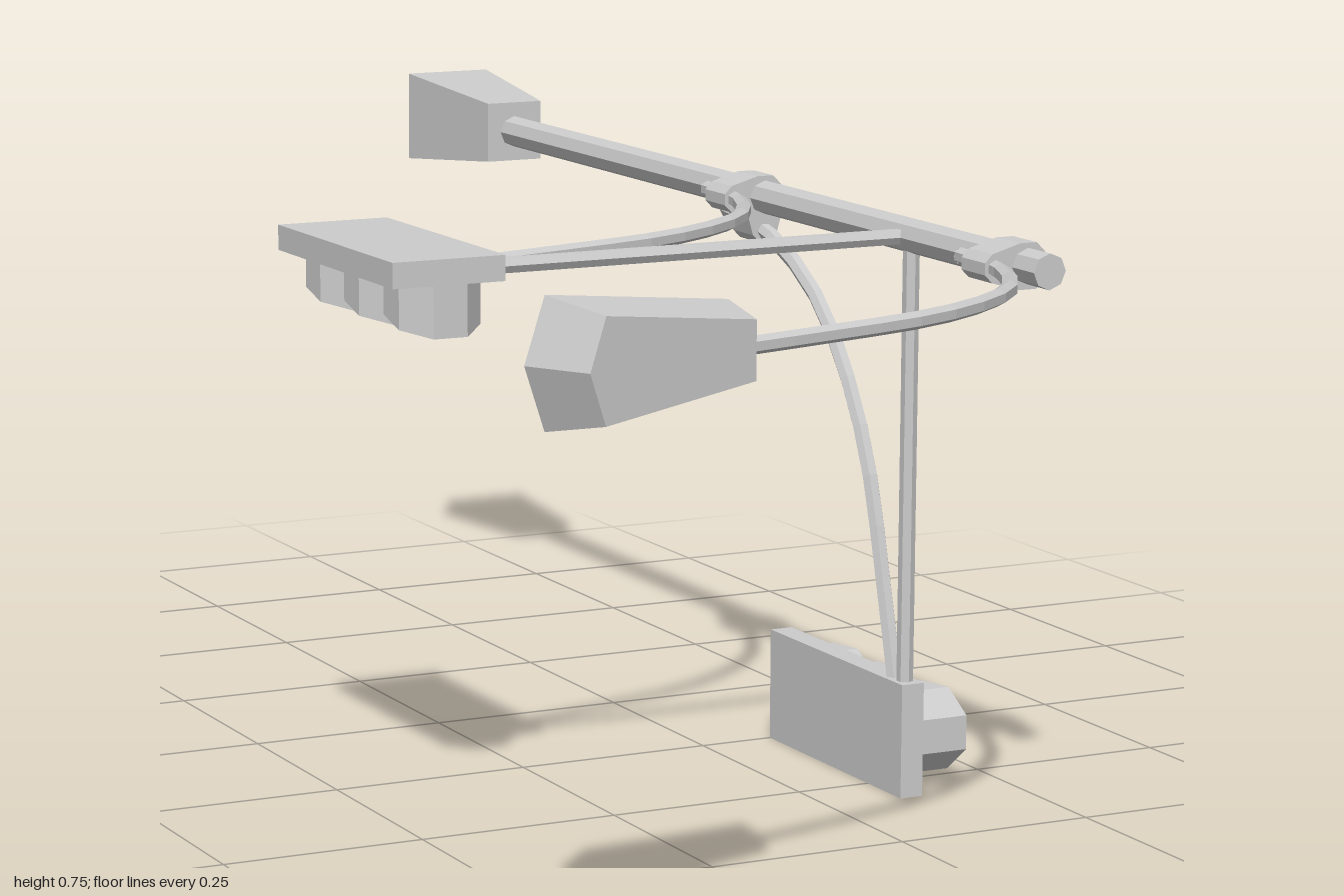
import * as THREE from 'three';
import { ConvexGeometry } from 'three/addons/geometries/ConvexGeometry.js';

const mat = new THREE.MeshStandardMaterial({ color: 0xcccccc, flatShading: true });
const thin = new THREE.MeshStandardMaterial({ color: 0xcccccc, flatShading: true, side: THREE.DoubleSide });
const V = (x, y, z) => new THREE.Vector3(x, y, z);

function add(parent, name, geo, material = mat) {
  const mesh = new THREE.Mesh(geo, material);
  mesh.name = name;
  parent.add(mesh);
  return mesh;
}

// Curved arm in the y-z plane, hanging away from the pole towards -y
const ARM = [[-0.545, 0.285], [-0.43, 0.255], [-0.295, 0.215], [-0.2, 0.165], [-0.115, 0.092],
  [-0.06, 0.0], [-0.036, -0.08], [-0.028, -0.155]];

function addArm(parent) {
  const curve = new THREE.CatmullRomCurve3(ARM.map(([y, z]) => V(0, y, z)));
  add(parent, 'curvedArm', new THREE.TubeGeometry(curve, 12, 0.01, 6, false), thin);
  const cap = add(parent, 'armEnd', new THREE.CircleGeometry(0.01, 6), thin);
  cap.position.copy(curve.getPoint(1));
  cap.lookAt(cap.position.clone().add(curve.getTangent(1)));
}

// Clamp wrapped around the pole and one arm
function addClamp(parent, z) {
  const pts = [];
  for (const dz of [-0.026, 0.026]) {
    for (let i = 0; i < 8; i++) {
      const a = (i + 0.5) * Math.PI / 4, c = Math.cos(a), s = Math.sin(a);
      pts.push(V(0.029 * c, 0.029 * s, z + dz), V(0.018 * c, -0.04 + 0.018 * s, z + dz));
    }
  }
  add(parent, 'clamp', new ConvexGeometry(pts));
}

// Three-lamp signal with strut, arm and clamp; lamps face +x
function makeSignal(name) {
  const g = new THREE.Group();
  g.name = name;
  add(g, 'backPlate', new THREE.BoxGeometry(0.03, 0.14, 0.33)).position.set(0, -0.61, 0.165);
  add(g, 'strut', new THREE.CylinderGeometry(0.01, 0.01, 0.53, 6)).position.set(0, -0.28, 0.31);
  addArm(g);
  addClamp(g, -0.08);

  const r = 0.055, step = Math.PI / 4;
  for (const z of [0.278, 0.166, 0.054]) {
    const lamp = new THREE.Group();
    lamp.name = 'lamp';
    lamp.position.set(0.015, -0.608, z);
    lamp.rotation.z = -Math.PI / 2;
    g.add(lamp);
    add(lamp, 'lampRim', new THREE.CylinderGeometry(r - 0.002, r - 0.002, 0.01, 8, 1, false, step / 2)).position.y = 0.005;
    add(lamp, 'lens', new THREE.CylinderGeometry(0.03, 0.04, 0.008, 8, 1, false, step / 2)).position.y = 0.014;
    // Visor: open arc with a slanted lip
    const visor = new THREE.CylinderGeometry(r, r, 0.062, 5, 1, true, -2.5 * step, 5 * step);
    visor.translate(0, 0.031, 0);
    const p = visor.attributes.position;
    for (let i = 0; i < p.count; i++) {
      if (p.getY(i) > 0.03) p.setY(i, p.getY(i) + 0.28 * (p.getZ(i) - r));
    }
    add(lamp, 'visor', visor, thin);
  }
  return g;
}

export function createModel() {
  const model = new THREE.Group();
  model.name = 'trafficLightPole';

  // Everything hangs off the pole axis, which runs along z
  const rig = new THREE.Group();
  rig.name = 'poleAssembly';
  rig.position.set(0.36, 0.68, 0);
  model.add(rig);

  const pole = new THREE.CylinderGeometry(0.021, 0.021, 1.41, 8);
  add(rig, 'pole', pole.rotateX(Math.PI / 2)).position.z = -0.085;

  // Hollow tapered foot with a closed upper end
  const foot = new THREE.CylinderGeometry(0.04 * Math.SQRT2, 0.06 * Math.SQRT2, 0.22, 4, 1, true);
  foot.rotateY(Math.PI / 4).rotateX(Math.PI / 2);
  add(rig, 'foot', foot, thin).position.z = -0.89;
  add(rig, 'footTop', new THREE.PlaneGeometry(0.08, 0.08), thin).position.z = -0.78;

  // Two signals, a quarter turn apart
  rig.add(makeSignal('lowerSignal'));
  const side = makeSignal('sideSignal');
  side.rotation.z = -Math.PI / 2;
  rig.add(side);

  // Street lamp arm
  const lampArm = new THREE.Group();
  lampArm.name = 'streetLampArm';
  lampArm.rotation.z = -Math.PI / 2;
  lampArm.position.z = 0.627;
  addArm(lampArm);
  addClamp(lampArm, -0.08);
  rig.add(lampArm);

  // Street lamp head: tapered block with a pointed end
  const pts = [];
  const under = (x) => 0.875 + 0.18 * (-0.185 - x);
  const over = (x) => 0.938 + 0.24 * (-0.185 - x);
  for (const s of [-1, 1]) {
    for (const [x, y] of [[-0.185, 0.044], [-0.415, 0.07]]) pts.push(V(x, 0.68 + s * y, under(x)));
    for (const [x, y] of [[-0.185, 0.032], [-0.38, 0.056]]) pts.push(V(x, 0.68 + s * y, over(x)));
  }
  pts.push(V(-0.44, 0.68, under(-0.44)), V(-0.4, 0.68, over(-0.4)));
  add(model, 'streetLampHead', new ConvexGeometry(pts));

  return model;
}
